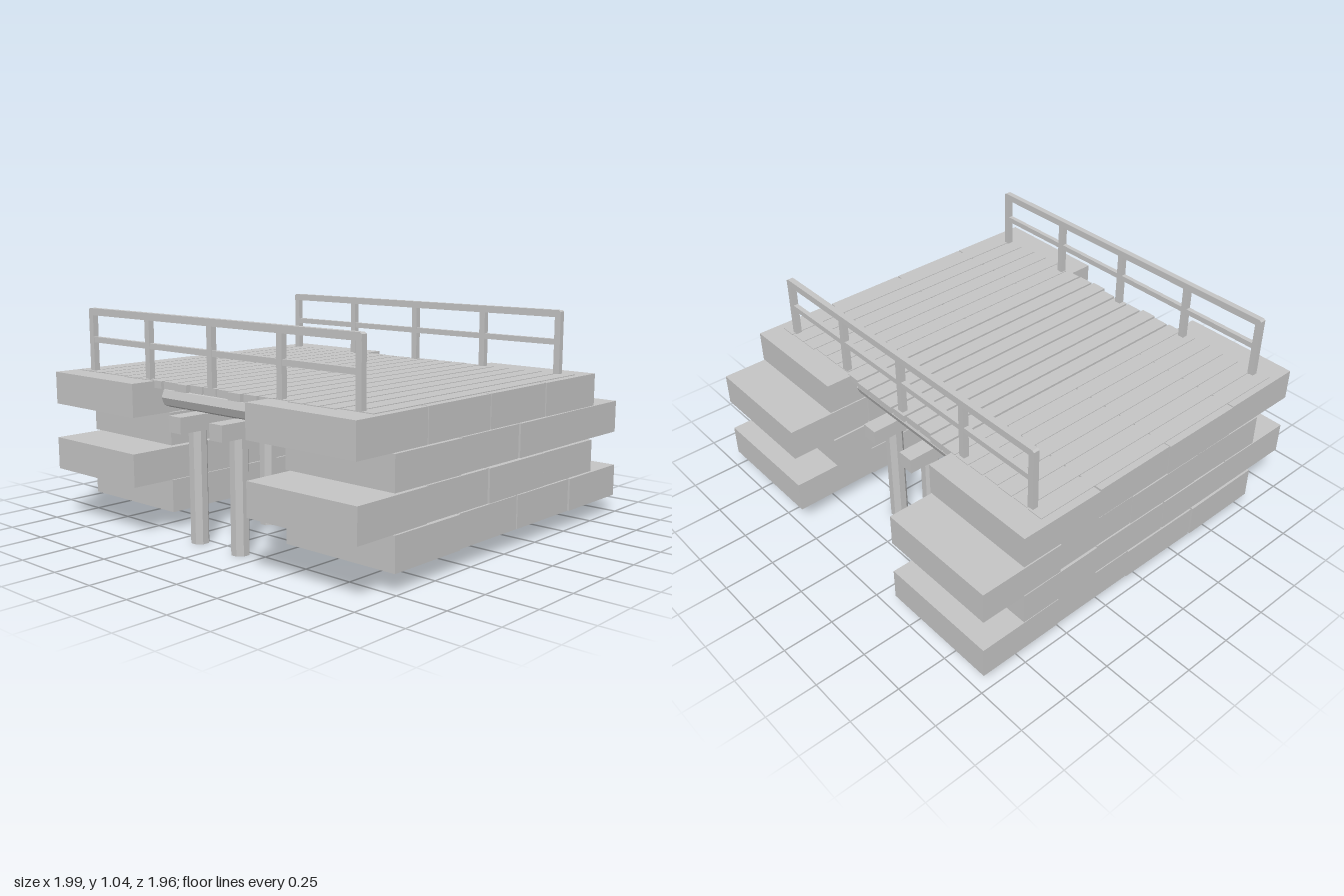
import * as THREE from 'three';

export function createModel() {
  const model = new THREE.Group();
  model.name = 'footbridge';
  const grey = new THREE.MeshStandardMaterial({ color: 0xc4c4c4, flatShading: true });
  grey.name = 'plain grey';

  function add(name, geometry, x, y, z, parent = model) {
    const mesh = new THREE.Mesh(geometry, grey);
    mesh.name = name;
    mesh.position.set(x, y, z);
    parent.add(mesh);
    return mesh;
  }
  function group(name) {
    const g = new THREE.Group();
    g.name = name;
    model.add(g);
    return g;
  }
  const box = (w, h, d) => new THREE.BoxGeometry(w, h, d);

  // Small repeatable irregularity, from -1 to 1
  let seed = 7;
  const wobble = () => {
    seed = (seed * 16807) % 2147483647;
    return (seed / 2147483647) * 2 - 1;
  };

  // Stone abutments: four staggered courses of four blocks on each side
  const courses = [
    { y: 0.167, front: 0.755 },
    { y: 0.329, front: 0.982 },
    { y: 0.495, front: 0.757 },
    { y: 0.656, front: 0.980 },
  ];
  const blockLength = 0.435;
  for (const side of [-1, 1]) {
    const abutment = group(side > 0 ? 'leftAbutment' : 'rightAbutment');
    for (const { y, front } of courses) {
      for (let i = 0; i < 4; i++) {
        const z = front - blockLength * (i + 0.5);
        const block = add('stoneBlock', box(0.609, 0.157, blockLength - 0.006),
          side * 0.685 + 0.006 * wobble(), y, z, abutment);
        block.rotation.y = 0.008 * wobble();
      }
    }
  }

  // Round piles in two rows, each row under a square bearer
  const pile = new THREE.CylinderGeometry(0.0435, 0.0435, 0.54, 8);
  pile.rotateY(Math.PI / 8);
  const piles = group('piles');
  for (const x of [-0.14, 0.135]) {
    for (const z of [0.793, 0.355, -0.135, -0.572]) add('pile', pile, x, 0.27, z, piles);
    add('bearer', box(0.082, 0.075, 1.635), x, 0.568, 0.108);
  }

  // Round logs across the gap, carrying the deck
  const log = new THREE.CylinderGeometry(0.05, 0.05, 1.0, 8);
  log.rotateZ(Math.PI / 2);
  for (const z of [0.76, 0.325, -0.12, -0.55]) add('crossLog', log, 0, 0.653, z);

  // Deck planks of slightly uneven length
  const deck = group('deck');
  for (let i = -10; i <= 10; i++) {
    const front = 0.848 + 0.012 * wobble();
    const back = -0.63 + 0.01 * wobble();
    add('plank', box(0.08, 0.035, front - back), i * 0.0911, 0.7205, (front + back) / 2, deck);
  }

  // Two railings with five posts each
  for (const [name, z] of [['frontRailing', 0.823], ['backRailing', -0.606]]) {
    const railing = group(name);
    for (let i = -2; i <= 2; i++) {
      add('railPost', box(0.032, 0.31, 0.029), i * 0.437, 0.865, z, railing);
    }
    // Top rail with clipped ends
    const shape = new THREE.Shape([
      [-0.89, -0.017], [0.89, -0.017], [0.89, 0.01], [0.88, 0.017], [-0.88, 0.017], [-0.89, 0.01],
    ].map(([x, y]) => new THREE.Vector2(x, y)));
    const rail = new THREE.ExtrudeGeometry(shape, { depth: 0.03, bevelEnabled: false });
    rail.translate(0, 0, -0.015);
    add('topRail', rail, 0, 1.027, z, railing);
    add('middleRail', box(1.75, 0.027, 0.024), 0, 0.891, z, railing);
  }

  return model;
}
